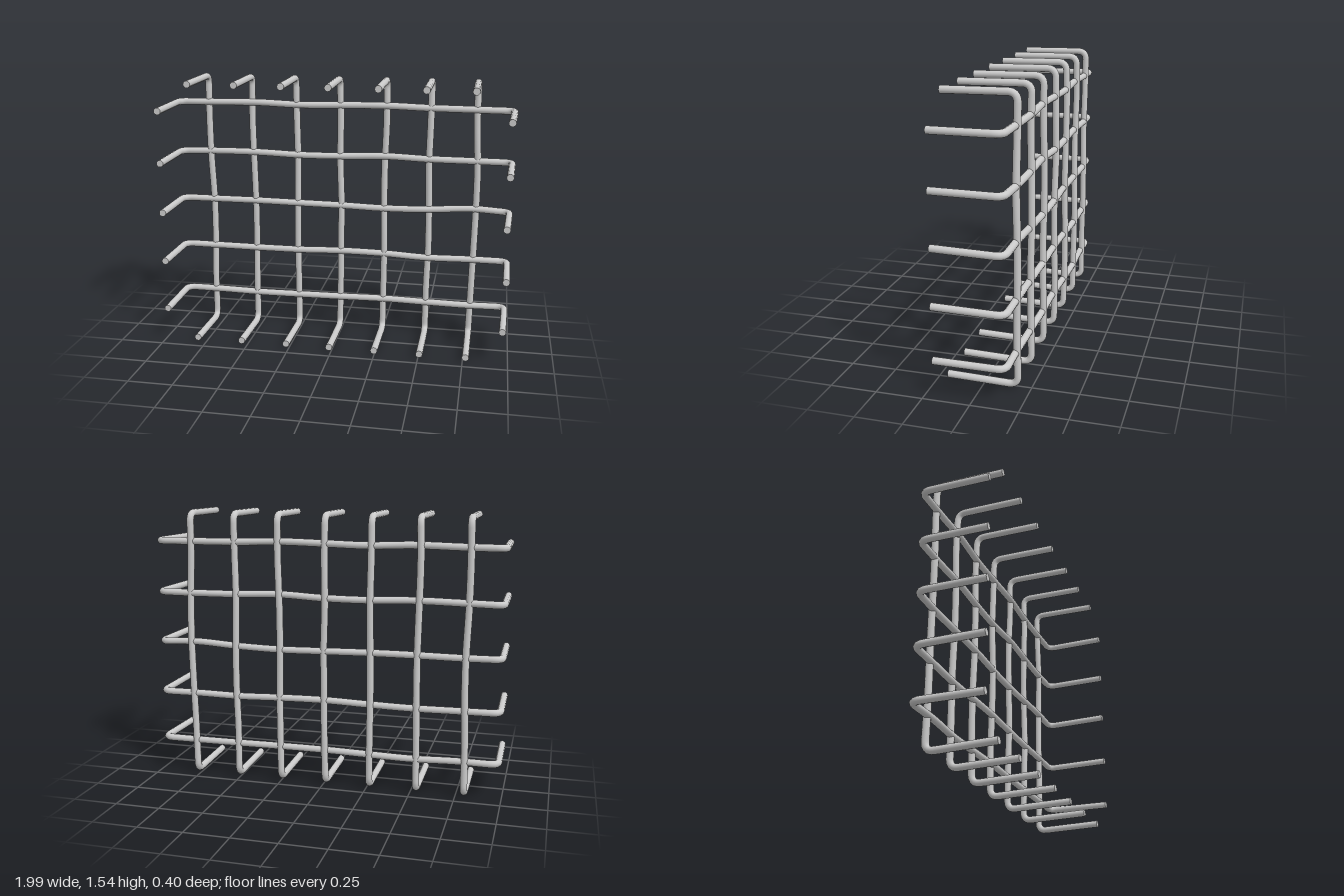
import * as THREE from 'three';

const RADIUS = 0.02, BEND = 0.05, SIDES = 12;
const FRONT = 0.2, BACK_ROW = -0.174, BACK_COLUMN = -0.181;

// Hand-bent rod: arm, rounded corner, slightly wavy span, rounded corner, arm.
function rod(name, tipA, span, tipB, material) {
  const last = span.length - 1;
  const cornerA = span[0], cornerB = span[last];
  const toward = (from, to) => from.clone().add(to.clone().sub(from).setLength(BEND));
  const armA = toward(cornerA, tipA), armB = toward(cornerB, tipB);
  const startA = toward(cornerA, span[1]), startB = toward(cornerB, span[last - 1]);

  const path = new THREE.CurvePath();
  path.add(new THREE.LineCurve3(tipA, armA));
  path.add(new THREE.QuadraticBezierCurve3(armA, cornerA, startA));
  path.add(new THREE.CatmullRomCurve3([startA, ...span.slice(1, last), startB]));
  path.add(new THREE.QuadraticBezierCurve3(startB, cornerB, armB));
  path.add(new THREE.LineCurve3(armB, tipB));

  const group = new THREE.Group();
  group.name = name;
  const tube = new THREE.Mesh(new THREE.TubeGeometry(path, 150, RADIUS, SIDES), material);
  tube.name = name + 'Tube';
  group.add(tube);

  // Flat cut ends
  for (const [tip, arm] of [[tipA, armA], [tipB, armB]]) {
    const cap = new THREE.Mesh(new THREE.CircleGeometry(RADIUS, SIDES), material);
    cap.name = name + 'End';
    cap.position.copy(tip);
    cap.quaternion.setFromUnitVectors(
      new THREE.Vector3(0, 0, 1), tip.clone().sub(arm).normalize());
    group.add(cap);
  }
  return group;
}

export function createModel() {
  const model = new THREE.Group();
  model.name = 'wireRack';
  const material = new THREE.MeshStandardMaterial({ color: 0xcccccc, side: THREE.DoubleSide });
  const v = (x, y, z) => new THREE.Vector3(x, y, z);

  // Horizontal rods: heights at evenly spaced stations from -x to +x, and the tip offsets
  const rowX = [-0.977, -0.75, -0.5, -0.25, 0, 0.25, 0.5, 0.75, 0.972];
  const rows = [
    { y: [0.207, 0.207, 0.201, 0.204, 0.208, 0.21, 0.207, 0.205, 0.207], tips: [0.205, 0.203], x: 0.962 },
    { y: [0.494, 0.492, 0.49, 0.493, 0.5, 0.497, 0.488, 0.491, 0.49], tips: [0.498, 0.495], x: 0.968 },
    { y: [0.787, 0.786, 0.787, 0.785, 0.781, 0.776, 0.782, 0.797, 0.788], tips: [0.787, 0.791], x: 0.957 },
    { y: [1.077, 1.082, 1.084, 1.076, 1.078, 1.088, 1.08, 1.078, 1.078], tips: [1.075, 1.077], x: 0.959 },
    { y: [1.373, 1.375, 1.379, 1.371, 1.376, 1.38, 1.373, 1.371, 1.37], tips: [1.37, 1.366], x: 0.955 },
  ];
  rows.forEach(({ y, tips, x }, i) => {
    const span = rowX.map((px, k) => v(px, y[k], BACK_ROW + 0.003 * Math.sin(2.1 * k + i)));
    model.add(rod('horizontalRod' + (i + 1), v(-0.973, tips[0], FRONT), span, v(x, tips[1], FRONT), material));
  });

  // Vertical rods: x at stations from bottom to top
  const columnY = [0.024, 0.3, 0.55, 0.8, 1.05, 1.3, 1.528];
  const columns = [
    [-0.797, -0.795, -0.788, -0.787, -0.795, -0.798, -0.795],
    [-0.531, -0.53, -0.527, -0.526, -0.531, -0.536, -0.531],
    [-0.265, -0.268, -0.27, -0.267, -0.264, -0.269, -0.27],
    [-0.012, -0.008, -0.006, -0.004, -0.012, -0.009, -0.012],
    [0.249, 0.252, 0.254, 0.249, 0.25, 0.258, 0.257],
    [0.507, 0.508, 0.514, 0.511, 0.505, 0.509, 0.51],
    [0.766, 0.772, 0.777, 0.781, 0.78, 0.768, 0.766],
  ];
  columns.forEach((xs, i) => {
    const span = xs.map((x, k) => v(x, columnY[k], BACK_COLUMN + 0.003 * Math.sin(1.9 * k + i)));
    model.add(rod('verticalRod' + (i + 1),
      v(xs[0], 0.033, FRONT - 0.005), span, v(xs[6], 1.523, FRONT), material));
  });

  return model;
}
